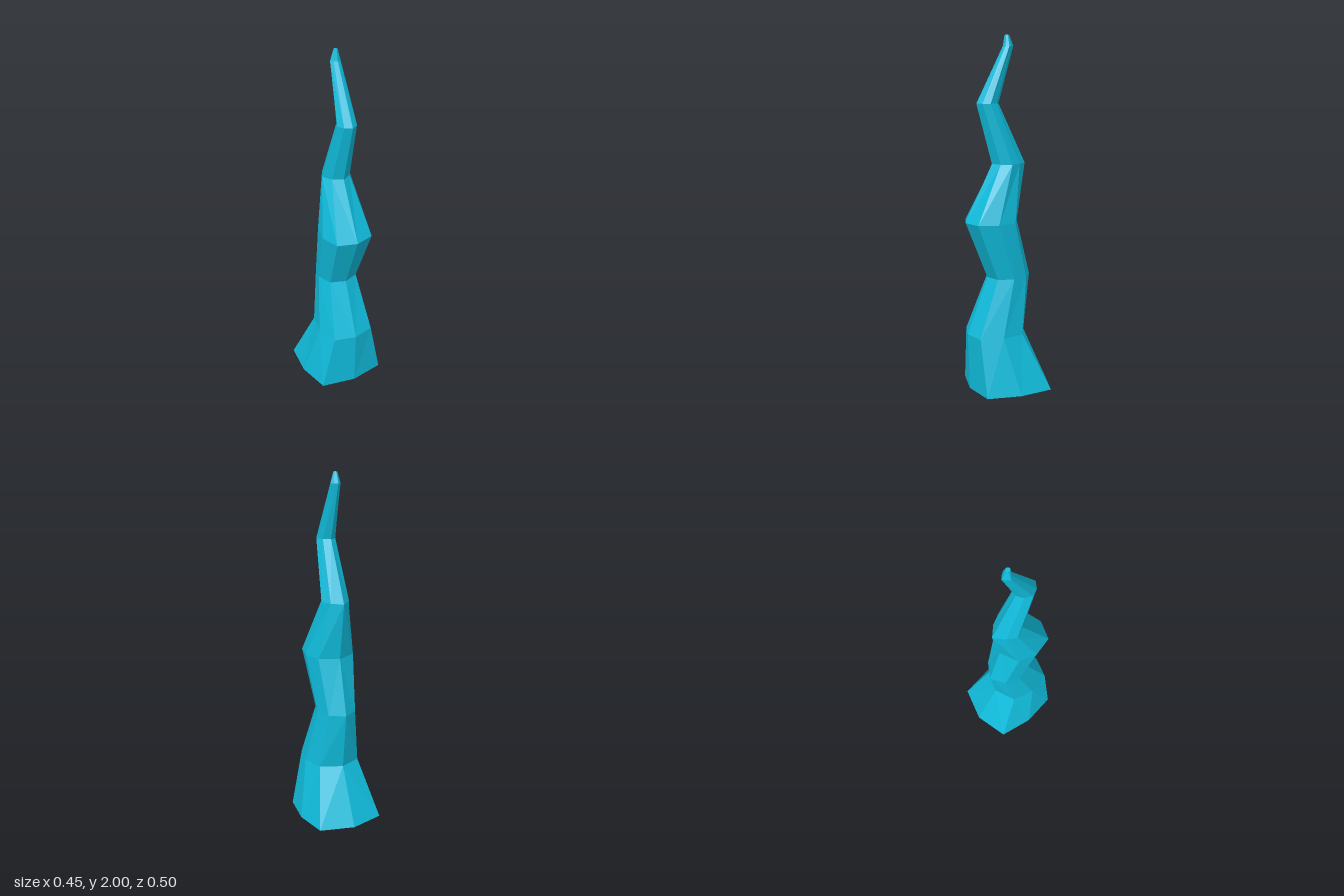
import * as THREE from 'three';

// Eight-sided cross-sections, mirrored in x:
// y, diagonal x, side x, then z of front, front diagonal, side, back diagonal, back
const SECTIONS = [
  [0, 0.195, 0.225, 0.23, 0.193, 0, -0.195, -0.248],
  [0.325, 0.123, 0.155, 0.24, 0.207, 0.08, -0.047, -0.1],
  [0.65, 0.085, 0.113, 0.12, 0.088, 0, -0.085, -0.138],
  [0.97, 0.11, 0.14, 0.247, 0.212, 0.1, -0.008, -0.06],
  [1.295, 0.055, 0.085, 0.09, 0.058, 0, -0.055, -0.108],
  [1.63, 0.038, 0.058, 0.18, 0.157, 0.118, 0.075, 0.05],
  [1.94, 0.019, 0.031, 0.024, 0.015, -0.003, -0.02, -0.038],
  [2, 0.008, 0.012, 0.014, 0.008, 0, -0.008, -0.014],
];

function ring([y, dx, sx, f, fd, s, bd, b]) {
  return [
    [0, y, f], [dx, y, fd], [sx, y, s], [dx, y, bd],
    [0, y, b], [-dx, y, bd], [-sx, y, s], [-dx, y, fd],
  ];
}

// Joins the rings into faceted walls with a cap at each end
function loft(sections) {
  const rings = sections.map(ring);
  const n = 8;
  const last = rings.length - 1;
  const pos = [];
  const tri = (...corners) => corners.forEach((p) => pos.push(...p));
  for (let i = 0; i < last; i++) {
    for (let k = 0; k < n; k++) {
      const j = (k + 1) % n;
      const a = rings[i][k], b = rings[i][j];
      const c = rings[i + 1][j], d = rings[i + 1][k];
      // Diagonals mirror across the centre plane
      if (k < n / 2) tri(a, b, c, a, c, d);
      else tri(a, b, d, b, c, d);
    }
  }
  for (let k = 1; k < n - 1; k++) {
    tri(rings[0][0], rings[0][k + 1], rings[0][k]);
    tri(rings[last][0], rings[last][k], rings[last][k + 1]);
  }
  const geo = new THREE.BufferGeometry();
  geo.setAttribute('position', new THREE.Float32BufferAttribute(pos, 3));
  geo.computeVertexNormals();
  return geo;
}

export function createModel() {
  const group = new THREE.Group();
  group.name = 'tentacle';
  const cyan = new THREE.MeshStandardMaterial({ color: 0x10bcdc });
  cyan.name = 'cyan';
  cyan.flatShading = true;

  // Wavy tapering stalk
  const stalk = new THREE.Mesh(loft(SECTIONS), cyan);
  stalk.name = 'stalk';
  group.add(stalk);
  return group;
}
